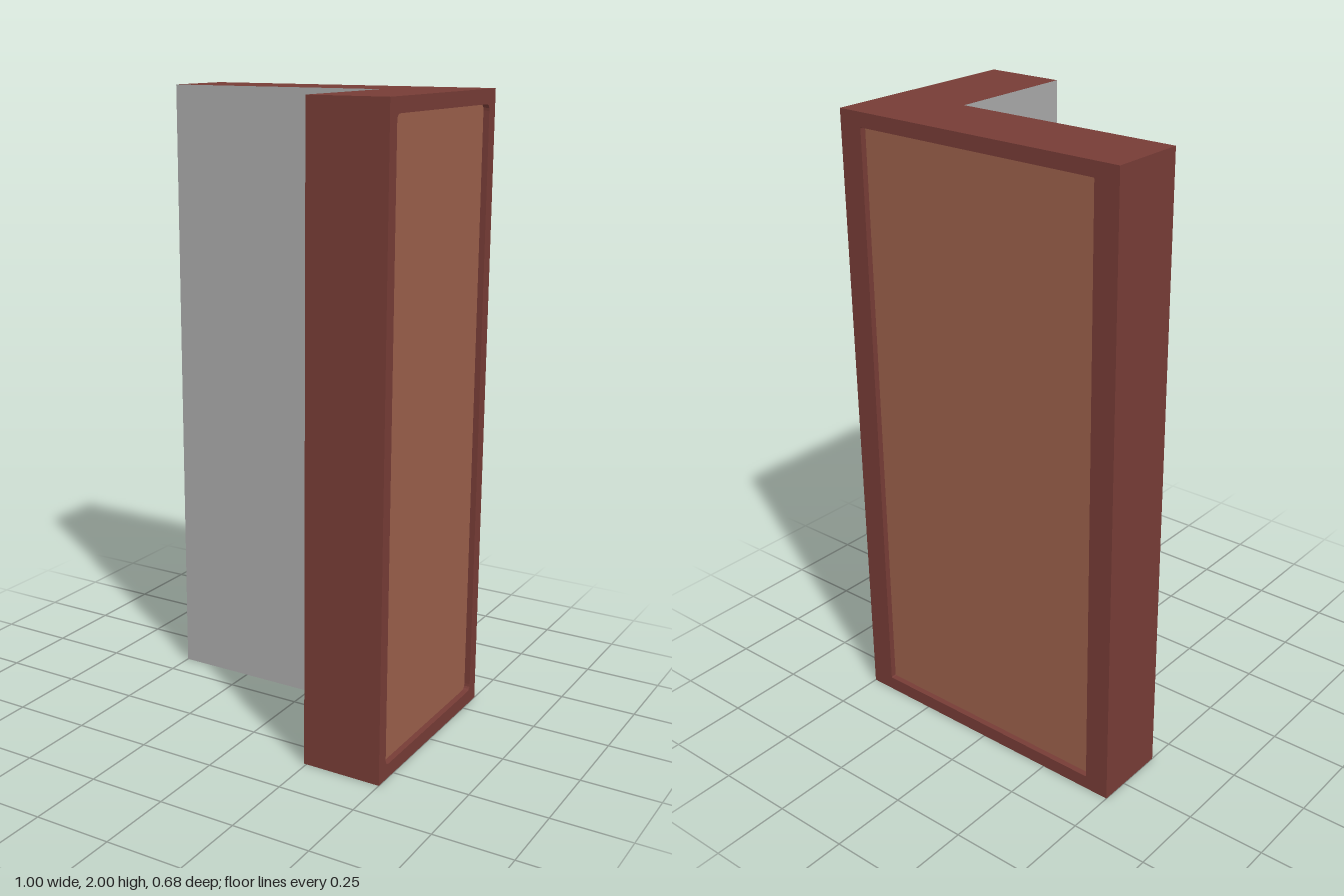
import * as THREE from 'three';

const H = 2, X = 0.5, Z = 0.342; // overall height, half width, half depth
const INNER_X = 0.242, INNER_Z = -0.094; // inside corner of the L
const RECESS = 0.02, RIM = 0.045;

const material = (name, color) => new THREE.MeshStandardMaterial({ name, color });

// Rectangle with optionally rounded corners
function rect(target, u0, u1, v0, v1, r) {
  target.moveTo(u0 + r, v0);
  target.lineTo(u1 - r, v0);
  target.quadraticCurveTo(u1, v0, u1, v0 + r);
  target.lineTo(u1, v1 - r);
  target.quadraticCurveTo(u1, v1, u1 - r, v1);
  target.lineTo(u0 + r, v1);
  target.quadraticCurveTo(u0, v1, u0, v1 - r);
  target.lineTo(u0, v0 + r);
  target.quadraticCurveTo(u0, v0, u0 + r, v0);
  return target;
}

// Raised rim around a recessed panel, facing local +z
function framedSide(name, u0, u1, panelHalf, radius, frameMat, panelMat) {
  const side = new THREE.Group();
  side.name = name;
  const outer = new THREE.Shape([
    new THREE.Vector2(u0, 0), new THREE.Vector2(u1, 0),
    new THREE.Vector2(u1, H), new THREE.Vector2(u0, H),
  ]);
  outer.holes.push(rect(new THREE.Path(), -panelHalf, panelHalf, RIM, H - RIM, radius));
  const rim = new THREE.Mesh(
    new THREE.ExtrudeGeometry(outer, { depth: RECESS, bevelEnabled: false, curveSegments: 4 }), frameMat);
  rim.name = name + 'Rim';
  const panel = new THREE.Mesh(
    new THREE.ShapeGeometry(rect(new THREE.Shape(), -panelHalf, panelHalf, RIM, H - RIM, radius), 4), panelMat);
  panel.name = name + 'Panel';
  panel.position.z = 0.001;
  side.add(rim, panel);
  return side;
}

export function createModel() {
  const group = new THREE.Group();
  group.name = 'cornerWall';
  const frameMat = material('darkRedBrown', 0x763c36);
  const panelMat = material('lightBrown', 0x9a5f4a);
  const innerMat = material('grey', 0xa8a8a8);

  // L-shaped core, drawn in plan and extruded upward
  const plan = [
    [-X, -Z + RECESS], [X - RECESS, -Z + RECESS], [X - RECESS, Z],
    [INNER_X, Z], [INNER_X, INNER_Z], [-X, INNER_Z],
  ].map(([x, z]) => new THREE.Vector2(x, -z));
  const coreGeo = new THREE.ExtrudeGeometry(new THREE.Shape(plan), { depth: H, bevelEnabled: false });
  coreGeo.rotateX(-Math.PI / 2);
  const core = new THREE.Mesh(coreGeo, frameMat);
  core.name = 'core';
  group.add(core);

  // Framed panels on the two outer faces
  const back = framedSide('back', RECESS - X, X, 0.42, 0.004, frameMat, panelMat);
  back.rotation.y = Math.PI;
  back.position.z = -Z + RECESS;
  const side = framedSide('side', -Z, Z, 0.3, 0.02, frameMat, panelMat);
  side.rotation.y = Math.PI / 2;
  side.position.x = X - RECESS;
  group.add(back, side);

  // Grey facing on the two inner faces
  const innerBack = new THREE.Mesh(new THREE.PlaneGeometry(INNER_X + X, H), innerMat);
  innerBack.name = 'innerBackFace';
  innerBack.position.set((INNER_X - X) / 2, H / 2, INNER_Z + 0.001);
  const innerSide = new THREE.Mesh(new THREE.PlaneGeometry(Z - INNER_Z, H), innerMat);
  innerSide.name = 'innerSideFace';
  innerSide.rotation.y = -Math.PI / 2;
  innerSide.position.set(INNER_X - 0.001, H / 2, (Z + INNER_Z) / 2);
  group.add(innerBack, innerSide);

  return group;
}
